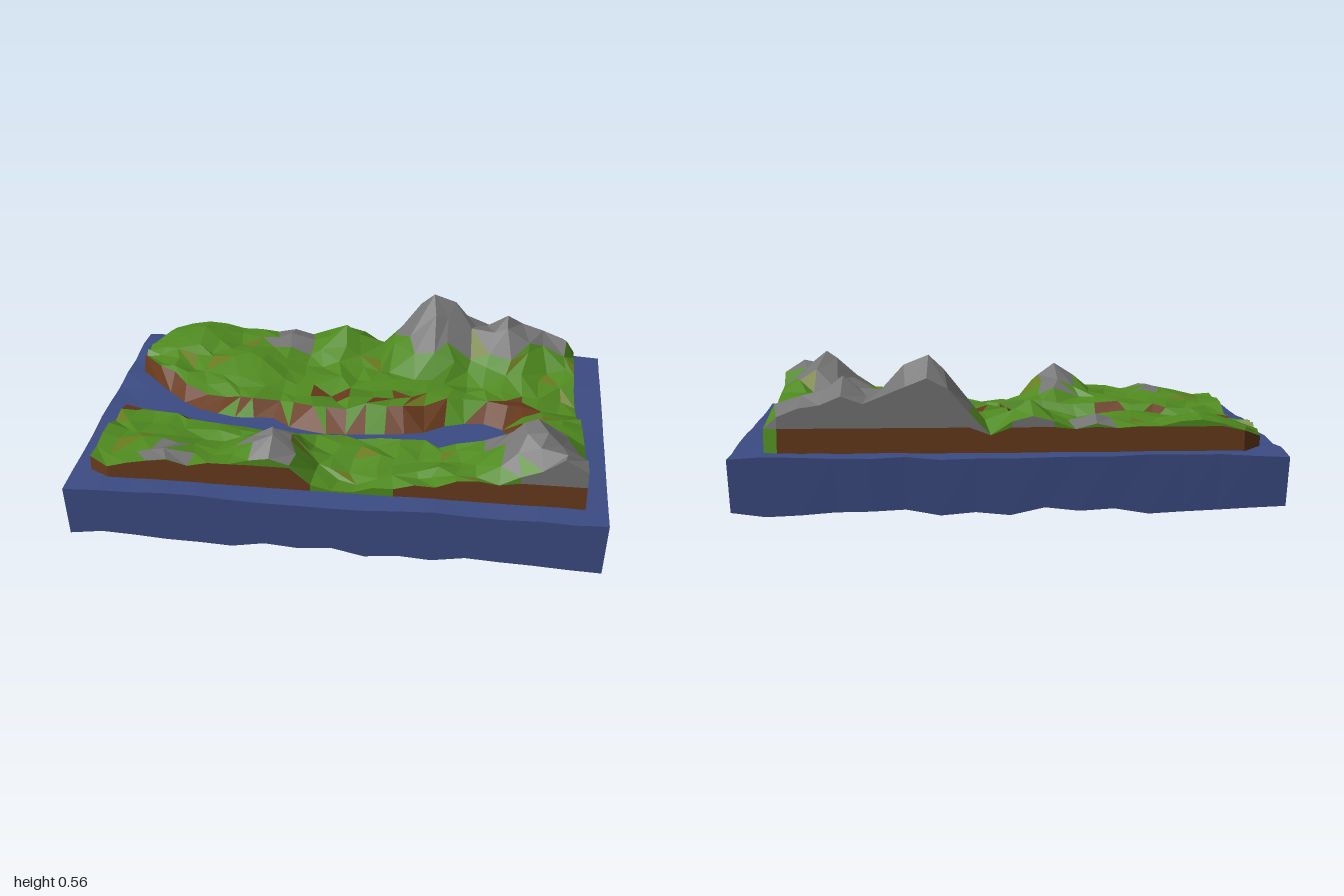
import * as THREE from 'three';

const WATER = 0.217, BED = 0.155, SKIRT = 0.13;
const COLS = 24, NORTH = 8, SOUTH = 6;
const lerp = THREE.MathUtils.lerp;

// repeatable noise in 0..1 from a position
const noise = (x, z) => {
  const s = Math.sin(x * 127.1 + z * 311.7) * 43758.5453;
  return s - Math.floor(s);
};

// piecewise linear lookup in a list of [x, value]
function along(points, x) {
  for (let i = 1; i < points.length; i++) {
    const [x0, v0] = points[i - 1], [x1, v1] = points[i];
    if (x <= x1) return lerp(v0, v1, Math.max(0, (x - x0) / (x1 - x0)));
  }
  return points[points.length - 1][1];
}

// river banks and outer land edges as z over x
const northBank = [[-0.93, -0.28], [-0.8, -0.14], [-0.66, 0], [-0.45, 0.06], [-0.33, 0.03], [-0.25, 0.1],
  [-0.1, 0.14], [0.1, 0.12], [0.28, 0.09], [0.4, 0], [0.52, -0.02], [0.6, 0.02], [0.91, 0.02]];
const southBank = [[-0.93, 0], [-0.8, 0.05], [-0.5, 0.13], [-0.3, 0.18], [-0.1, 0.2], [0.1, 0.18],
  [0.28, 0.2], [0.38, 0.24], [0.5, 0.23], [0.6, 0.15], [0.91, 0.14]];
const backEdge = [[-0.93, -0.47], [-0.87, -0.56], [-0.3, -0.555], [0.1, -0.55], [0.84, -0.55], [0.91, -0.52]];
const frontEdge = [[-0.93, 0.5], [-0.87, 0.545], [0.91, 0.54]];
const eastEdge = [[-0.5, 0.885], [-0.25, 0.885], [0, 0.905], [0.5, 0.918]];

// peaks: x, z, height, radius, rocky
const peaks = [
  [0.29, -0.47, 0.565, 0.25, 1], [0.38, -0.48, 0.53, 0.2, 1], [0.6, -0.46, 0.49, 0.22, 1], [0.75, -0.48, 0.42, 0.17, 1],
  [0.73, 0.37, 0.485, 0.21, 1], [0.84, 0.52, 0.43, 0.15, 1], [0.62, 0.32, 0.38, 0.15, 1],
  [-0.24, 0.44, 0.42, 0.18, 1], [-0.08, -0.47, 0.4, 0.18, 0], [-0.7, -0.47, 0.35, 0.22, 0], [-0.32, -0.47, 0.345, 0.15, 1],
  [-0.65, 0.48, 0.32, 0.13, 1], [0.8, 0.18, 0.335, 0.25, 0], [-0.47, -0.3, 0.33, 0.2, 0],
];
// hollows: x, z, depth, radius
const hollows = [[0.9, -0.14, 0.08, 0.14], [0.02, 0.55, 0.07, 0.13], [-0.1, -0.08, 0.03, 0.08], [0.15, -0.08, 0.03, 0.08],
  [-0.93, 0.1, 0.05, 0.15]];

const nearness = (x, z, [px, pz, , r]) => 1 - Math.hypot(x - px, z - pz) / r;

function landHeight(x, z) {
  let base = 0.28 + 0.02 * Math.sin(x * 5 + 1) * Math.cos(z * 6) + 0.02 * Math.max(0, x) + (noise(x, z) - 0.5) * 0.03;
  for (const [hx, hz, d, r] of hollows) base -= d * Math.exp(-((x - hx) ** 2 + (z - hz) ** 2) / (r * r));
  let y = base;
  for (const peak of peaks) y = Math.max(y, base + (peak[2] - base) * Math.min(1, 1.08 * nearness(x, z, peak)));
  return Math.max(y, WATER + 0.006);
}

// land as one grid of columns, its rows following the banks, with a sunken river bed
function landGrid() {
  const rows = NORTH + SOUTH + 2;
  const grid = Array.from({ length: COLS + 1 }, (_, i) => Array.from({ length: rows + 1 }, (_, j) => {
    const edge = i === 0 || i === COLS || j === 0 || j === rows;
    const river = j >= NORTH && j <= NORTH + 2;
    const shift = edge || river ? 0 : 0.045;
    const x = lerp(-0.93, 0.91, i / COLS) + (noise(i, j) - 0.5) * shift;
    const nb = along(northBank, x), sb = along(southBank, x);
    let z = j <= NORTH ? lerp(along(backEdge, x), nb, j / NORTH)
      : j === NORTH + 1 ? (nb + sb) / 2 : lerp(sb, along(frontEdge, x), (j - NORTH - 2) / SOUTH);
    z += (noise(j + 3, i) - 0.5) * shift;
    if (river && x < 0.63) return [x, j === NORTH + 1 ? BED : WATER, z];
    return [i === COLS ? along(eastEdge, z) : x, landHeight(x, z), z];
  }));
  // pull the nearest inner point onto every summit
  for (const [px, pz, py] of peaks) {
    let best = null, distance = Infinity;
    for (const column of grid.slice(1, -1)) for (const p of column.slice(1, -1)) {
      const d = Math.hypot(p[0] - px, p[2] - pz);
      if (d < distance) { distance = d; best = p; }
    }
    best.splice(0, 3, px, py, pz);
  }
  return grid;
}

// ground cover chosen from peaks, closeness to the river and the gully
function cover(a, b, c) {
  const x = (a[0] + b[0] + c[0]) / 3, z = (a[2] + b[2] + c[2]) / 3;
  const n = noise(x, z), low = Math.min(a[1], b[1], c[1]);
  const rock = Math.max(...peaks.filter((p) => p[4]).map((p) => nearness(x, z, p)));
  if (low < WATER - 0.01) return 'soil';
  if (rock > 0.24 + n * 0.22) return 'rock';
  if (low <= WATER + 0.001 && (n > 0.55 || (x < -0.5 && z < 0.04))) return 'soil';
  if (Math.abs(z + 0.07) < 0.04 && x > -0.3 && x < 0.35 && n > 0.6) return n > 0.9 ? 'rock' : 'soil';
  if (Math.hypot(x - 0.64, z + 0.06) < 0.09) return 'soil';
  return n > 0.95 ? 'dryGrass' : 'grass';
}

const colors = { water: 0x3c4c84, grass: 0x4f8a1f, dryGrass: 0x6b7a1f, soil: 0x683a1c, rock: 0x747474 };

export function createModel() {
  const group = new THREE.Group();
  const faces = Object.fromEntries(Object.keys(colors).map((k) => [k, []]));
  const tri = (kind, a, b, c) => faces[kind].push(...a, ...b, ...c);
  const quad = (kind, a, b, c, d) => { tri(kind, a, b, c); tri(kind, a, c, d); };

  // cover a grid of points with triangles, split either way
  function addSurface(grid, kindOf) {
    for (let i = 0; i < grid.length - 1; i++) {
      for (let j = 0; j < grid[0].length - 1; j++) {
        const a = grid[i][j], b = grid[i][j + 1], c = grid[i + 1][j + 1], d = grid[i + 1][j];
        const split = noise(i + 9, j) > 0.5 ? [[a, b, c], [a, c, d]] : [[a, b, d], [b, c, d]];
        for (const t of split) tri(kindOf(...t), ...t);
      }
    }
  }

  // border points of a grid, counter-clockwise from above
  function border(grid) {
    const end = grid.length - 1, rows = grid[0].length - 1;
    return [...grid[0], ...grid.slice(1, end).map((c) => c[rows]), ...[...grid[end]].reverse(),
      ...grid.slice(1, end).map((c) => c[0]).reverse()];
  }
  const aroundBorder = (grid, build) => {
    const points = border(grid);
    points.forEach((p, i) => build(p, points[(i + 1) % points.length]));
  };

  // land and its cliffs: soil below, stone or grass where the edge is higher
  const land = landGrid();
  addSurface(land, cover);
  const at = (p, y) => [p[0], Math.min(p[1], y), p[2]];
  aroundBorder(land, (p, q) => {
    const top = Math.max(p[1], q[1]);
    const grassy = (top > WATER && top < 0.262) || (p[0] > 0.87 && p[2] < -0.1);
    quad(grassy ? 'grass' : 'soil', at(p, SKIRT), at(q, SKIRT), at(q, 0.31), at(p, 0.31));
    if (top > 0.31) quad(top > 0.35 ? 'rock' : 'grass', at(p, 0.31), at(q, 0.31), q, p);
  });

  // broad soil floor under the river mouth
  quad('soil', [-0.93, BED - 0.01, -0.25], [-0.93, BED - 0.01, 0.42], [-0.35, BED - 0.01, 0.34], [-0.35, BED - 0.01, 0]);

  // water sheet, gently uneven at its border, with open-bottomed ragged sides
  const nx = 16, nz = 10;
  const water = Array.from({ length: nx + 1 }, (_, i) => Array.from({ length: nz + 1 }, (_, j) => {
    const edge = i === 0 || i === nx || j === 0 || j === nz;
    return [lerp(-1, 1, i / nx), WATER + (edge ? (noise(i, j) - 0.4) * 0.016 : 0.001), lerp(-0.643, 0.64, j / nz)];
  }));
  addSurface(water, () => 'water');
  const foot = ([x, , z]) => [x * 0.99, 0.02 + 0.009 * Math.sin(x * 9 + z * 14) + 0.009 * Math.sin(x * 23 - z * 17), z * 0.992];
  aroundBorder(water, (p, q) => quad('water', foot(p), foot(q), q, p));

  // one flat-shaded mesh per material
  for (const [name, positions] of Object.entries(faces)) {
    const geometry = new THREE.BufferGeometry();
    geometry.setAttribute('position', new THREE.Float32BufferAttribute(positions, 3));
    geometry.computeVertexNormals();
    const material = new THREE.MeshStandardMaterial({ color: colors[name], flatShading: true, side: THREE.DoubleSide });
    const mesh = new THREE.Mesh(geometry, material);
    mesh.name = name;
    group.add(mesh);
  }
  return group;
}
